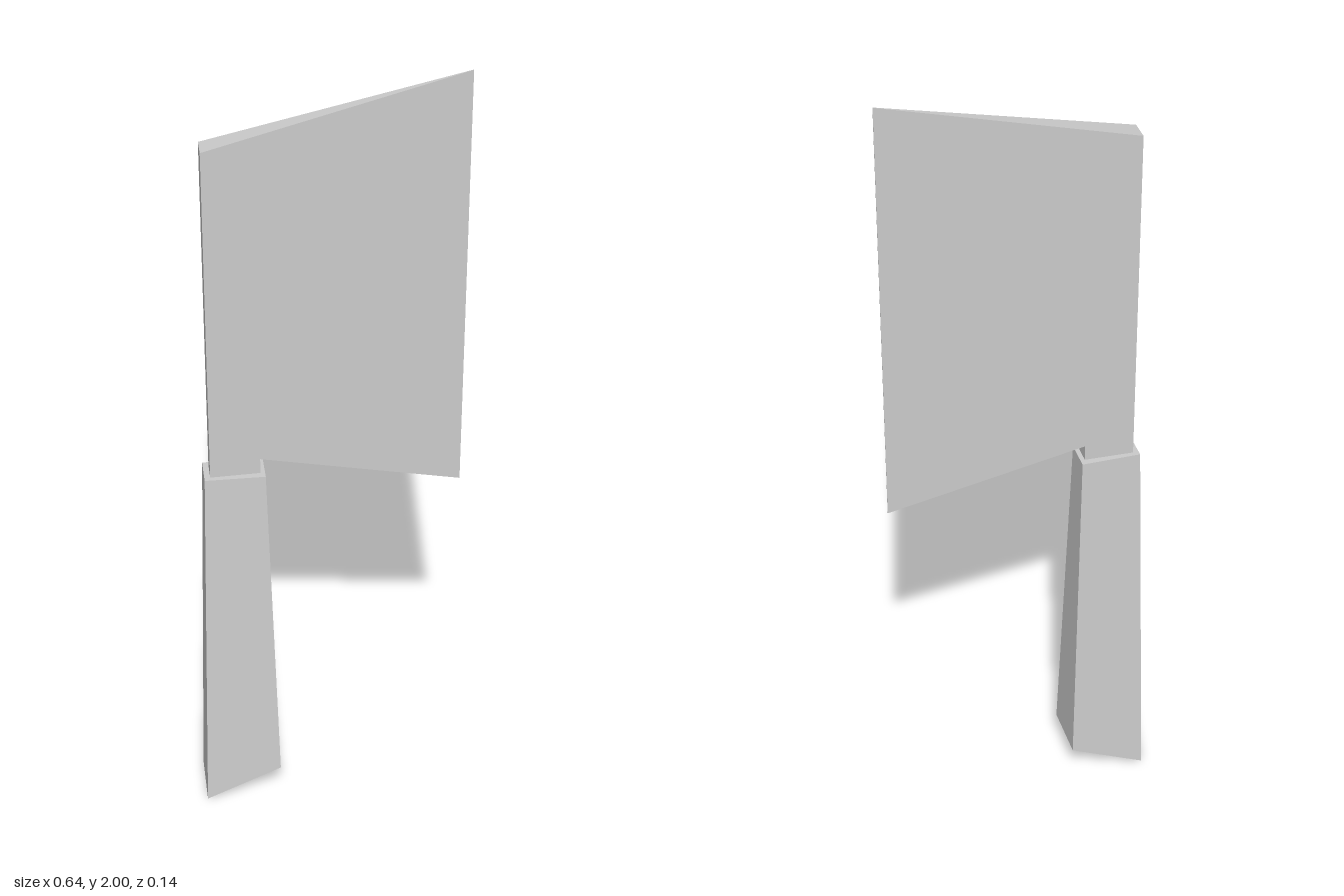
import * as THREE from 'three';

// Moves every vertex of a geometry by a rule, then recomputes flat normals
function reshape(geometry, rule) {
  const flat = geometry.index ? geometry.toNonIndexed() : geometry;
  const pos = flat.attributes.position;
  const v = new THREE.Vector3();
  for (let i = 0; i < pos.count; i++) {
    rule(v.fromBufferAttribute(pos, i));
    pos.setXYZ(i, v.x, v.y, v.z);
  }
  flat.computeVertexNormals();
  return flat;
}

export function createModel() {
  const group = new THREE.Group();
  group.name = 'cleaver';
  const steel = new THREE.MeshStandardMaterial({ color: 0xcccccc, flatShading: true });
  steel.name = 'light grey';

  // Blade with its tang: one outline, thinning from the spine to the cutting edge
  const spineX = -0.285, edgeX = 0.318;
  const outline = new THREE.Shape([
    [spineX, 0.97], [-0.165, 0.97], [-0.165, 1.02],
    [edgeX, 0.91], [edgeX, 2], [spineX, 1.848],
  ].map(([x, y]) => new THREE.Vector2(x, y)));
  const bladeGeometry = reshape(
    new THREE.ExtrudeGeometry(outline, { depth: 1, bevelEnabled: false }),
    (v) => {
      const half = THREE.MathUtils.mapLinear(v.x, spineX, edgeX, 0.026, 0.0008);
      v.z = (v.z - 0.5) * 2 * half;
    },
  );
  const blade = new THREE.Mesh(bladeGeometry, steel);
  blade.name = 'blade';

  // Handle: a box that flares downward, with a slanted butt
  const handleGeometry = reshape(new THREE.BoxGeometry(2, 2, 2), (v) => {
    const front = v.x > 0;
    if (v.y > 0) v.set(front ? -0.154 : -0.299, 0.98, v.z * 0.038);
    else v.set(front ? -0.131 : -0.32, front ? 0.087 : 0, v.z * 0.071);
  });
  const handle = new THREE.Mesh(handleGeometry, steel);
  handle.name = 'handle';

  group.add(blade, handle);
  return group;
}
